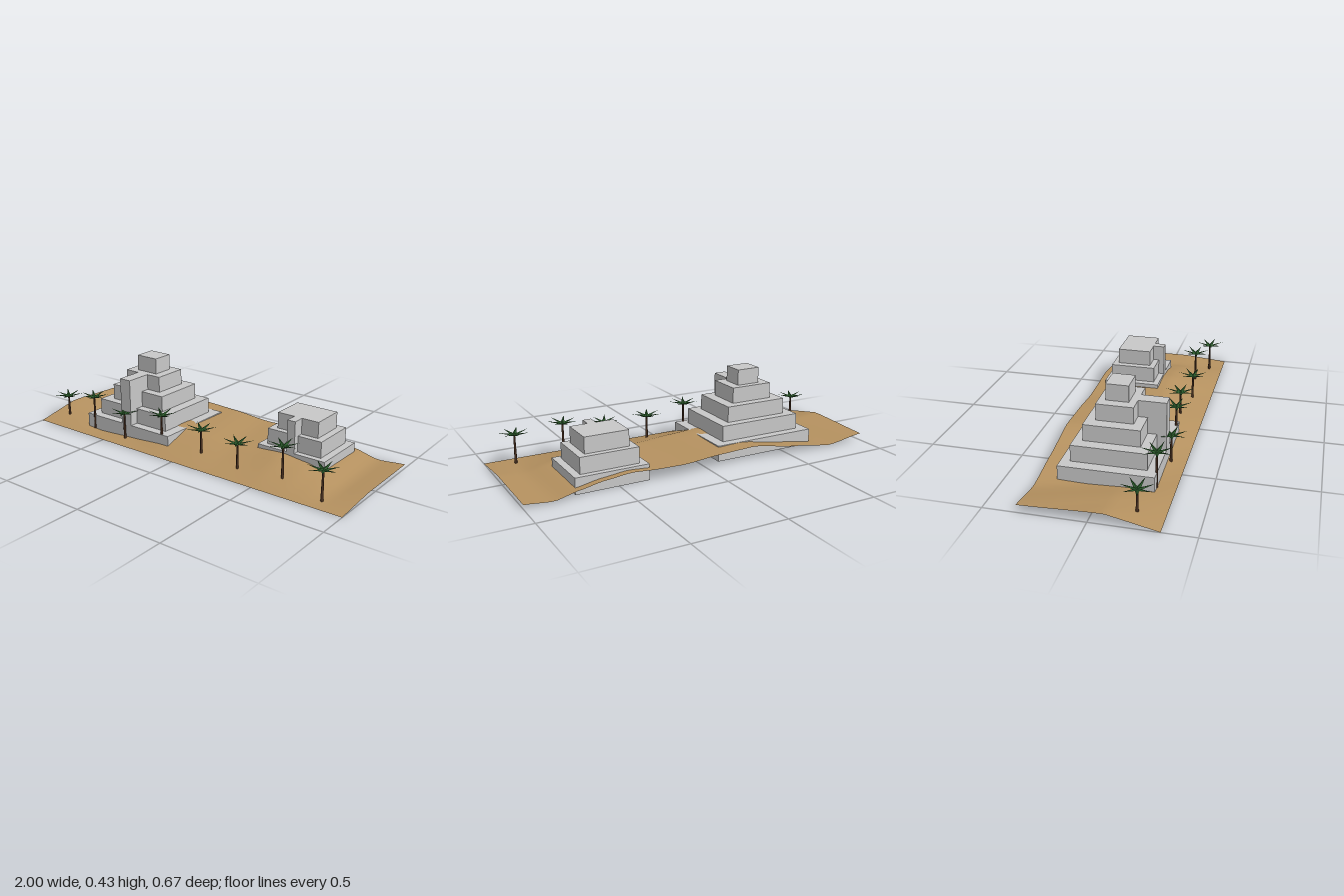
import * as THREE from 'three';

const mat = (name, color, extra = {}) => new THREE.MeshStandardMaterial({ name, color, ...extra });

// Dune ridge profile: [x, height]
const RIDGE = [[-1.4, 0.06], [-1.15, 0.054], [-1, 0.04], [-0.78, 0.008], [-0.53, 0.043], [-0.27, 0.086],
  [-0.05, 0.078], [0.15, 0.062], [0.3, 0.065], [0.45, 0.075], [0.6, 0.06], [0.72, 0.038], [0.85, 0.008], [1, 0.022]];

function ridge(x) {
  let i = 0;
  while (i < RIDGE.length - 2 && x > RIDGE[i + 1][0]) i++;
  const [x0, y0] = RIDGE[i], [x1, y1] = RIDGE[i + 1];
  const t = THREE.MathUtils.smoothstep(x, x0, x1) * 0.4 + THREE.MathUtils.clamp((x - x0) / (x1 - x0), 0, 1) * 0.6;
  return y0 + (y1 - y0) * t;
}

// Sand height: a slightly skewed ridge that runs out to zero at the front edge
function sandHeight(x, z) {
  const skew = 0.2 * (1 - x) * (z + 0.333);
  const fade = THREE.MathUtils.clamp((0.333 - z) / 0.253, 0, 1);
  const bump = 0.007 * Math.exp(-((x + 0.13) ** 2 + (z - 0.035) ** 2) / 0.004);
  return (ridge(x - skew) + bump) * fade;
}

export function createModel() {
  const model = new THREE.Group();
  model.name = 'desertPyramids';
  const sand = mat('sand', 0xb69260, { side: THREE.DoubleSide });
  const stone = mat('stone', 0xc8c8c8);
  const bark = mat('bark', 0x4a3020);
  const leaf = mat('leaf', 0x2a5a2a);

  const add = (parent, name, geometry, material, x = 0, y = 0, z = 0) => {
    const mesh = new THREE.Mesh(geometry, material);
    mesh.name = name;
    mesh.position.set(x, y, z);
    parent.add(mesh);
    return mesh;
  };

  // Rolling sand sheet
  const ground = new THREE.PlaneGeometry(2, 0.666, 60, 24).rotateX(-Math.PI / 2);
  const p = ground.attributes.position;
  for (let i = 0; i < p.count; i++) p.setY(i, sandHeight(p.getX(i), p.getZ(i)));
  ground.computeVertexNormals();
  add(model, 'sandDunes', ground, sand);

  // Stepped pyramid: tiers are [width, depth]; the front ramp block reaches rampTop tiers up
  const STEP = 0.0868;
  function pyramid(name, x, z, tiers, rampWidth, rampTop) {
    const group = new THREE.Group();
    group.name = name;
    group.position.set(x, 0, z);
    tiers.forEach(([w, d], i) =>
      add(group, 'tier' + (i + 1), new THREE.BoxGeometry(w, STEP, d), stone, 0, STEP * (i + 0.5), 0));
    const front = tiers[0][1] / 2, back = tiers[rampTop - 1][1] / 2, h = STEP * (rampTop - 1);
    add(group, 'stairBlock', new THREE.BoxGeometry(rampWidth, h, front - back), stone,
      0, STEP + h / 2, (front + back) / 2);
    model.add(group);
  }
  pyramid('largePyramid', -0.402, 0,
    [[0.6, 0.48], [0.484, 0.382], [0.364, 0.289], [0.242, 0.191], [0.134, 0.117]], 0.07, 4);
  pyramid('smallPyramid', 0.532, -0.134,
    [[0.397, 0.319], [0.318, 0.255], [0.24, 0.19]], 0.046, 3);

  // Palm trees: [x, z, trunk top]
  const frond = new THREE.ConeGeometry(0.013, 0.084, 4).translate(0, 0.042, 0)
    .rotateX(-Math.PI / 2).scale(1, 0.45, 1).rotateX(0.22).toNonIndexed();
  frond.computeVertexNormals();
  const palms = [[-0.9, 0.205, 0.138], [-0.65, 0.238, 0.193], [-0.4, 0.257, 0.155], [-0.15, 0.232, 0.193],
    [0.1, 0.207, 0.162], [0.35, 0.232, 0.157], [0.6, 0.204, 0.198], [0.85, 0.253, 0.16]];
  for (const [x, z, top] of palms) {
    const palm = new THREE.Group();
    palm.name = 'palmTree';
    const base = Math.max(0, sandHeight(x, z) - 0.015);
    add(palm, 'trunk', new THREE.CylinderGeometry(0.005, 0.0075, top - base, 7), bark, x, (top + base) / 2, z);
    for (let i = 0; i < 7; i++) add(palm, 'frond', frond, leaf, x, top, z).rotation.y = (i / 7) * Math.PI * 2;
    model.add(palm);
  }
  return model;
}
